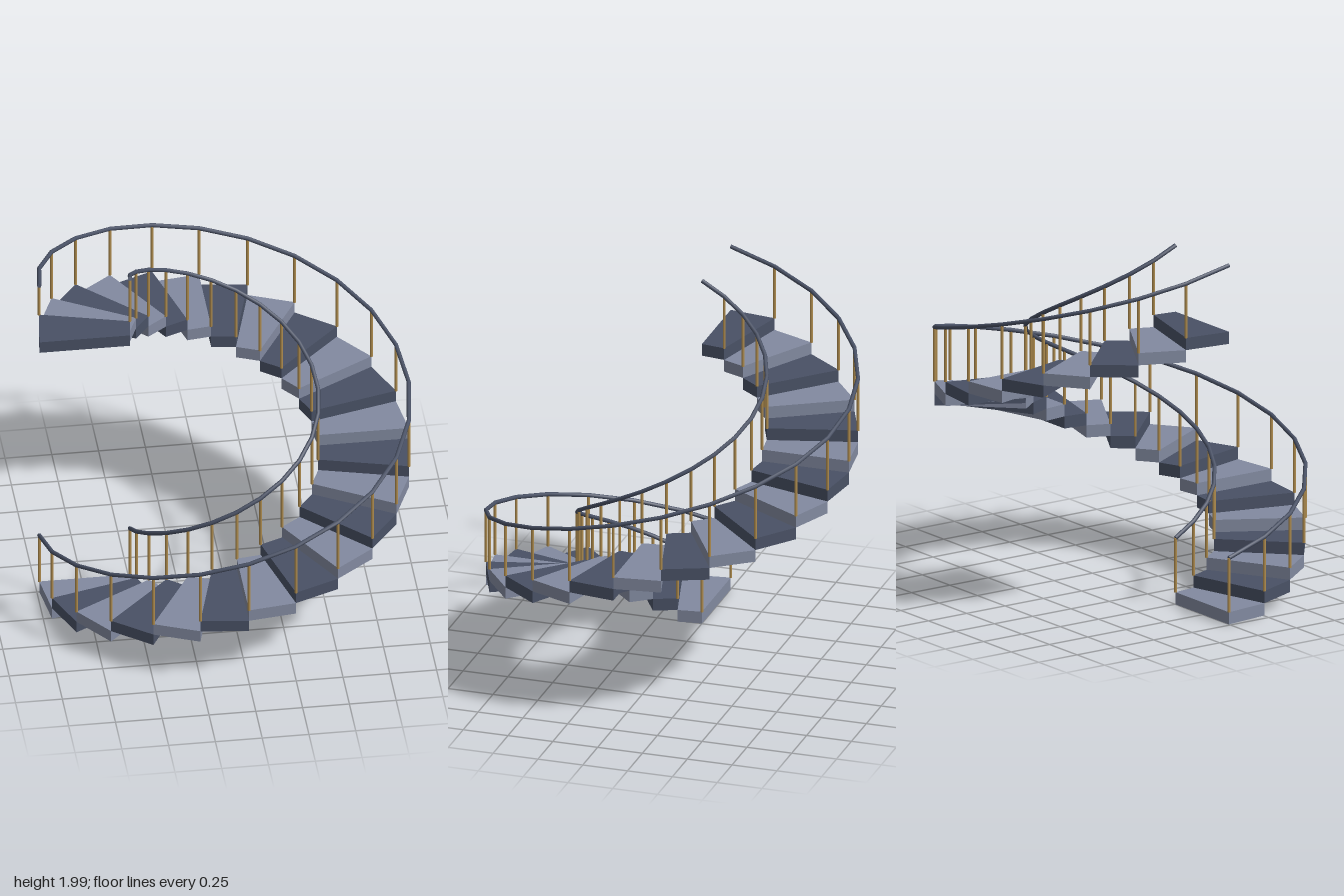
import * as THREE from 'three';

const STEPS = 24, TURN = Math.PI * 2, ARC = TURN / STEPS;
const RISE = 1.61 / STEPS;          // height of one step
const INNER = 0.503, OUTER = 0.987; // radii of the stair edges
const POST = 0.298;                 // post height above its step
const RAIL_R = 0.0115, POST_R = 0.008;

// Climb starts at -x and turns through +z
const around = (r, a, y) => new THREE.Vector3(-r * Math.cos(a), y, r * Math.sin(a));

class Helix extends THREE.Curve {
  constructor(radius) { super(); this.radius = radius; }
  getPoint(t, target = new THREE.Vector3()) {
    return target.copy(around(this.radius, t * TURN, RISE + POST + t * STEPS * RISE));
  }
}

export function createModel() {
  const model = new THREE.Group();
  model.name = 'spiralStaircase';
  const mat = (name, color) => {
    const m = new THREE.MeshStandardMaterial({ color });
    m.name = name;
    return m;
  };
  const light = mat('light slate', 0x828aa0);
  const dark = mat('dark slate', 0x495165);
  const brass = mat('brass', 0xb08d4f);
  const add = (parent, name, geometry, material) => {
    const mesh = new THREE.Mesh(geometry, material);
    mesh.name = name;
    parent.add(mesh);
    return mesh;
  };
  const group = (name) => {
    const g = new THREE.Group();
    g.name = name;
    model.add(g);
    return g;
  };

  // Wedge steps, alternating in colour
  const corner = (r, a) => new THREE.Vector2(-r * Math.cos(a), -r * Math.sin(a));
  const wedge = new THREE.ExtrudeGeometry(
    new THREE.Shape([corner(INNER, 0), corner(OUTER, 0), corner(OUTER, ARC), corner(INNER, ARC)]),
    { depth: RISE, bevelEnabled: false }
  ).rotateX(-Math.PI / 2);
  const steps = group('steps');
  for (let i = 0; i < STEPS; i++) {
    const step = add(steps, 'step', wedge, i % 2 ? dark : light);
    step.rotation.y = i * ARC;
    step.position.y = i * RISE;
  }

  // A handrail and its posts along each edge
  const postGeometry = new THREE.CylinderGeometry(POST_R, POST_R, POST, 8);
  const cap = new THREE.CircleGeometry(RAIL_R, 8);
  for (const [side, radius] of [['inner', INNER], ['outer', OUTER]]) {
    const railing = group(side + 'Railing');
    const path = new Helix(radius);
    add(railing, side + 'Handrail', new THREE.TubeGeometry(path, STEPS, RAIL_R, 8), dark);
    for (const t of [0, 1]) {
      const end = add(railing, 'handrailEnd', cap, dark);
      end.position.copy(path.getPoint(t));
      const outward = path.getTangent(t).multiplyScalar(t ? 1 : -1);
      end.quaternion.setFromUnitVectors(new THREE.Vector3(0, 0, 1), outward);
    }
    for (let i = 0; i < STEPS; i++) {
      const post = add(railing, side + 'Post', postGeometry, brass);
      post.position.copy(around(radius, i * ARC, (i + 1) * RISE + POST / 2));
    }
  }
  return model;
}
